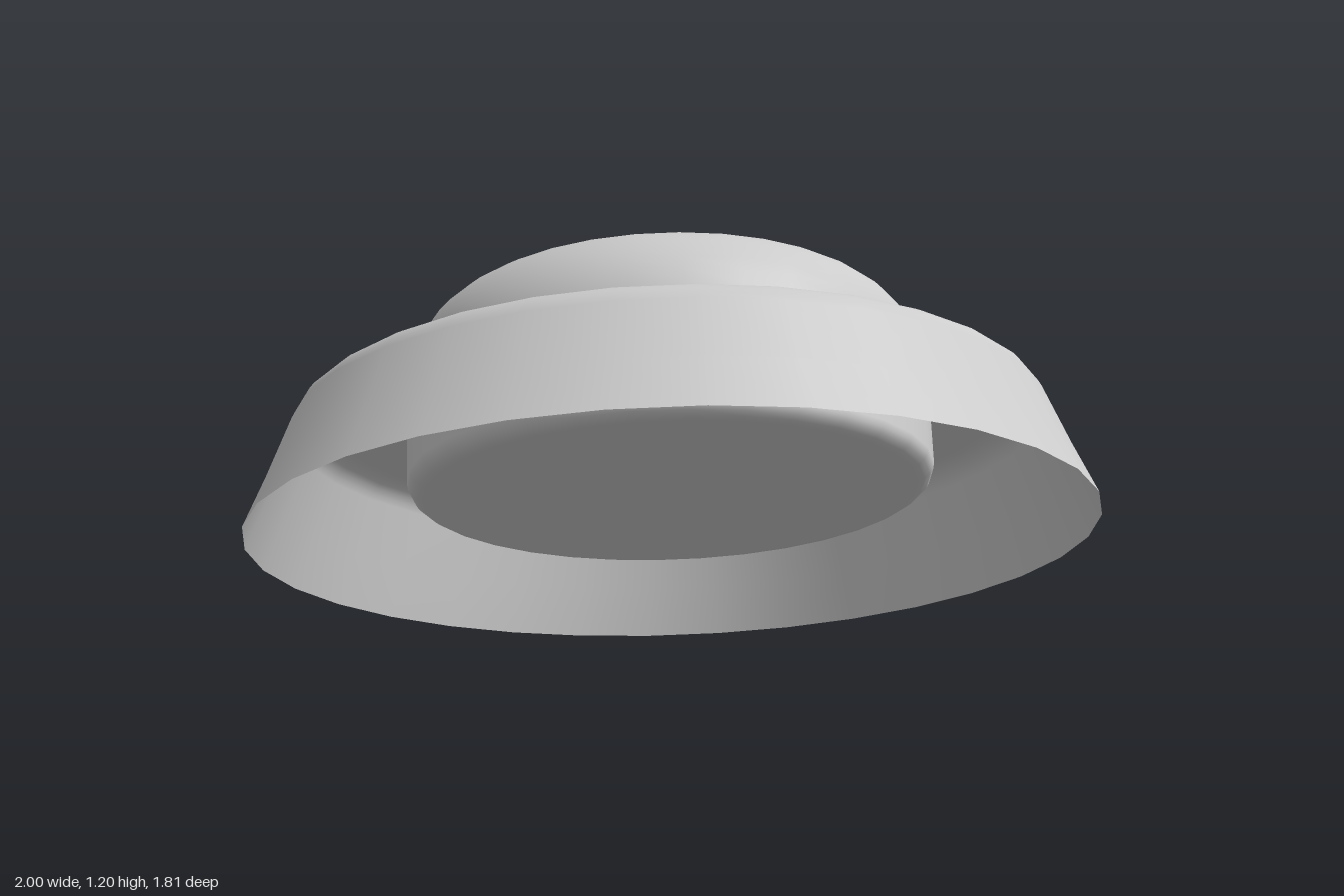
import * as THREE from 'three';

const SEGMENTS = 32;

// Points of a rounded corner, angles in degrees
function arc(cx, cy, r, from, to, steps) {
  return Array.from({ length: steps + 1 }, (_, i) => {
    const a = THREE.MathUtils.degToRad(from + ((to - from) * i) / steps);
    return [cx + r * Math.cos(a), cy + r * Math.sin(a)];
  });
}

function lathe(name, profile, side) {
  const points = profile.map(([r, y]) => new THREE.Vector2(r, y));
  const mesh = new THREE.Mesh(
    new THREE.LatheGeometry(points, SEGMENTS),
    new THREE.MeshStandardMaterial({ color: 0xcccccc, side })
  );
  mesh.name = name;
  return mesh;
}

export function createModel() {
  const model = new THREE.Group();
  model.name = 'tiltedButton';

  // Thin flared skirt, open below, with a rounded shoulder and flat top ring
  const skirt = lathe('skirt', [
    [1, 0], [0.95, 0.12],
    ...arc(0.82, 0.236, 0.08, 20, 90, 6),
    [0.79, 0.316], [0.6, 0.316],
  ], THREE.DoubleSide);

  // Solid cap through the ring: slightly eased base, broad rounded top
  const cap = lathe('cap', [
    [0, 0.113], [0.57, 0.113],
    ...arc(0.585, 0.153, 0.04, -90, 0, 4),
    [0.625, 0.3],
    ...arc(0.402, 0.377, 0.223, 0, 90, 10),
    [0.37, 0.6], [0, 0.6],
  ], THREE.FrontSide);

  // Lean the whole part back
  const tilted = new THREE.Group();
  tilted.name = 'tiltedBody';
  tilted.add(skirt, cap);
  tilted.rotation.x = -0.472;
  tilted.position.set(0, 0.455, 0.005);
  model.add(tilted);
  return model;
}
